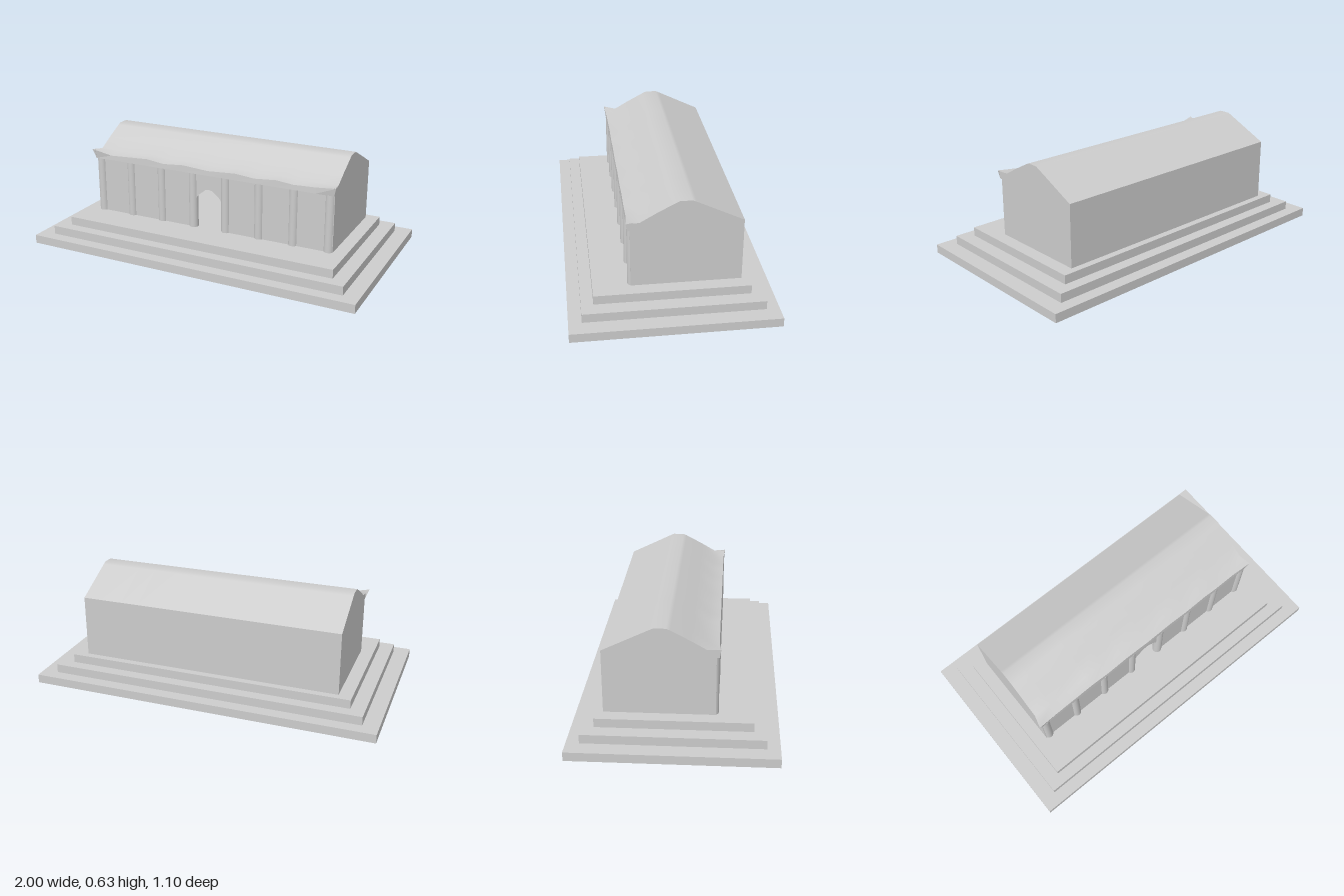
import * as THREE from 'three';

const HALF = 0.755, FLOOR = 0.15, EAVE = 0.48, FRONT = 0.215, BACK = -0.375;

// Wavy upper edge of the eave, flared at both corners: [x, y, z]
const EDGE = [
  [-0.775, 0.535, 0.238], [-0.65, 0.508, 0.227], [-0.4, 0.521, 0.227], [-0.29, 0.508, 0.227],
  [-0.16, 0.519, 0.227], [0, 0.508, 0.227], [0.17, 0.519, 0.227], [0.29, 0.508, 0.227],
  [0.42, 0.519, 0.227], [0.52, 0.509, 0.227], [0.65, 0.514, 0.227], [0.765, 0.527, 0.236],
];
// Roof profile behind the eave, front to back: [z, y]
const ROOF = [
  [0.165, 0.524], [0.08, 0.573], [-0.02, 0.626], [-0.04, 0.635],
  [-0.105, 0.635], [-0.125, 0.626], [BACK, 0.505],
];

const clampX = (x) => THREE.MathUtils.clamp(x, -HALF, HALF);

// Surface through rows of points, each row running left to right
function loft(rows) {
  const n = rows[0].length, index = [];
  for (let j = 0; j < rows.length - 1; j++) {
    for (let i = 0; i < n - 1; i++) {
      const a = j * n + i, b = a + 1, c = b + n, d = a + n;
      index.push(a, b, c, a, c, d);
    }
  }
  const geo = new THREE.BufferGeometry();
  geo.setAttribute('position', new THREE.Float32BufferAttribute(rows.flat(2), 3));
  geo.setIndex(index);
  geo.computeVertexNormals();
  return geo;
}

const shapeOf = (points) => new THREE.Shape(points.map(([x, y]) => new THREE.Vector2(x, y)));

export function createModel() {
  const group = new THREE.Group();
  const solid = new THREE.MeshStandardMaterial({ color: 0xcccccc });
  const thin = new THREE.MeshStandardMaterial({ color: 0xcccccc, side: THREE.DoubleSide });
  const faceted = new THREE.MeshStandardMaterial({ color: 0xcccccc, side: THREE.DoubleSide, flatShading: true });

  const add = (name, geo, mat, x = 0, y = 0, z = 0) => {
    const mesh = new THREE.Mesh(geo, mat);
    mesh.name = name;
    mesh.position.set(x, y, z);
    group.add(mesh);
    return mesh;
  };

  // Stepped base
  [[2, 1.1], [1.82, 0.96], [1.66, 0.83]].forEach(([w, d], i) => {
    add(`step${i + 1}`, new THREE.BoxGeometry(w, 0.05, d), solid, 0, 0.025 + i * 0.05, 0);
  });

  // Front wall with the open arched doorway
  const front = shapeOf([
    [-HALF, FLOOR], [-0.08, FLOOR], [-0.08, 0.33], [-0.065, 0.352], [-0.022, 0.386], [0, 0.392],
    [0.022, 0.386], [0.065, 0.352], [0.08, 0.33], [0.08, FLOOR], [HALF, FLOOR], [HALF, EAVE], [-HALF, EAVE],
  ]);
  add('frontWall', new THREE.ShapeGeometry(front), thin, 0, 0, FRONT);

  // Back wall
  const backHeight = 0.505 - FLOOR;
  add('backWall', new THREE.PlaneGeometry(2 * HALF, backHeight), thin, 0, FLOOR + backHeight / 2, BACK)
    .rotation.y = Math.PI;

  // Gable walls follow the roof profile at each end
  for (const [name, side, edge] of [['rightWall', -1, EDGE[0]], ['leftWall', 1, EDGE[EDGE.length - 1]]]) {
    const gable = shapeOf([
      [BACK, FLOOR], [FRONT, FLOOR], [FRONT, EAVE], [0.229, EAVE], [edge[2], edge[1]], ...ROOF,
    ]);
    const geo = new THREE.ShapeGeometry(gable);
    geo.rotateY(-Math.PI / 2);
    add(name, geo, thin, side * HALF, 0, 0);
  }

  // Engaged columns along the front
  const column = new THREE.CylinderGeometry(0.027, 0.027, EAVE - FLOOR, 24);
  for (let i = 0; i < 8; i++) {
    add(`column${i + 1}`, column, solid, (i - 3.5) * 0.208, (FLOOR + EAVE) / 2, 0.203);
  }

  // Roof, rounded over the ridge
  const row = (z, y) => EDGE.map(([x]) => [clampX(x), y, z]);
  add('roof', loft([EDGE, ...ROOF.map(([z, y]) => row(z, y))]), thin);

  // Soffit and wavy eave board
  add('eave', loft([row(FRONT, EAVE), row(0.229, EAVE), EDGE]), faceted);

  return group;
}
